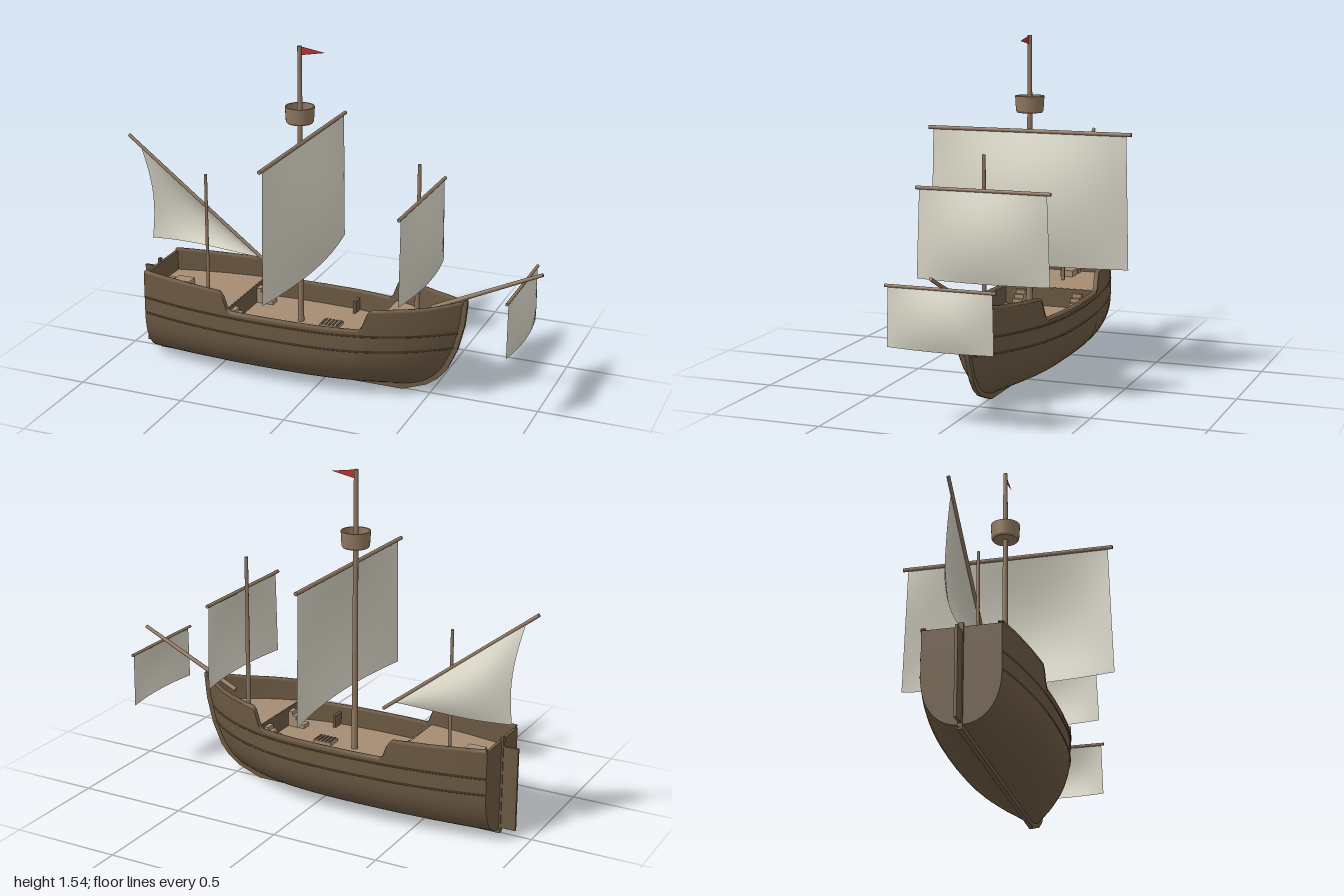
import * as THREE from 'three';

const mat = (name, color, side = THREE.FrontSide) => {
  const m = new THREE.MeshStandardMaterial({ color, side });
  m.name = name;
  return m;
};

// piecewise linear lookup through [in, out] pairs
const lerpTable = (t, v) => {
  if (v <= t[0][0]) return t[0][1];
  for (let i = 1; i < t.length; i++) {
    const [a, b] = [t[i - 1], t[i]];
    if (v <= b[0]) return a[1] + (b[1] - a[1]) * (v - a[0]) / (b[0] - a[0]);
  }
  return t[t.length - 1][1];
};

// hull lines: bow at +x, stern at -x
const STERN = -0.845, BOW = 0.655, FLOOR = 0.02;
const STEM = [[0.02, 0.38], [0.05, 0.475], [0.09, 0.53], [0.14, 0.57], [0.24, 0.615], [0.36, 0.645], [0.46, 0.655]];
const SHEER = [[-0.85, 0.443], [-0.43, 0.43], [-0.41, 0.405], [-0.39, 0.355], [-0.37, 0.34],
  [0.24, 0.34], [0.255, 0.36], [0.275, 0.425], [0.29, 0.438], [0.5, 0.445], [0.66, 0.465]];
const STATIONS = [STERN, -0.78, -0.7, -0.6, -0.5, -0.43, -0.41, -0.39, -0.37, -0.25, -0.1, 0.05, 0.15,
  0.24, 0.255, 0.275, 0.29, 0.36, 0.43, 0.5, 0.55, 0.59, 0.62, 0.64, BOW];
const stem = y => lerpTable(STEM, y);
const sheer = x => lerpTable(SHEER, x);
const plan = x => x > -0.15
  ? 0.243 * Math.max(0, 1 - Math.pow((x + 0.15) / (BOW + 0.15), 2.8))
  : 0.243 * (1 - 0.33 * Math.pow((-0.15 - x) / 0.7, 2.2));
const section = y => {
  const s = Math.min(1, Math.max(0, (y - FLOOR) / 0.22));
  return Math.pow(1 - Math.pow(1 - s, 2.2), 1 / 2.2);
};
const stationX = (x0, y) => STERN + (x0 - STERN) / (BOW - STERN) * (stem(y) - STERN);
const halfWidth = (x, y) =>
  plan(Math.min(BOW, STERN + (x - STERN) / (stem(y) - STERN) * (BOW - STERN))) * section(y);

// grid surface from a point rule f(i, j)
function surface(nu, nv, f) {
  const pos = [], idx = [];
  for (let i = 0; i <= nu; i++) for (let j = 0; j <= nv; j++) pos.push(...f(i, j));
  for (let i = 0; i < nu; i++) for (let j = 0; j < nv; j++) {
    const a = i * (nv + 1) + j, b = a + nv + 1;
    idx.push(a, b, a + 1, b, b + 1, a + 1);
  }
  const g = new THREE.BufferGeometry();
  g.setAttribute('position', new THREE.Float32BufferAttribute(pos, 3));
  g.setIndex(idx);
  g.computeVertexNormals();
  return g;
}

export function createModel() {
  const ship = new THREE.Group();
  ship.name = 'sailingShip';
  const hullMat = mat('darkHullWood', 0x6b5842, THREE.DoubleSide);
  const deckMat = mat('deckWood', 0xa58c72);
  const sparMat = mat('sparWood', 0x8f775f, THREE.DoubleSide);
  const sailMat = mat('canvas', 0xd6d3c4, THREE.DoubleSide);
  const flagMat = mat('redFlag', 0xb5312f, THREE.DoubleSide);

  const add = (name, geo, material, x = 0, y = 0, z = 0) => {
    const m = new THREE.Mesh(geo, material);
    m.name = name;
    m.position.set(x, y, z);
    ship.add(m);
    return m;
  };
  const box = (name, w, h, d, x, y, z, material) => add(name, new THREE.BoxGeometry(w, h, d), material, x, y, z);
  const spar = (name, a, b, ra, rb = ra) => {
    const A = new THREE.Vector3(...a), B = new THREE.Vector3(...b), d = B.clone().sub(A);
    const m = add(name, new THREE.CylinderGeometry(rb, ra, d.length(), 14), sparMat);
    m.position.copy(A).add(B).multiplyScalar(0.5);
    m.quaternion.setFromUnitVectors(new THREE.Vector3(0, 1, 0), d.normalize());
    return m;
  };
  const extrude = (points, depth) => new THREE.ExtrudeGeometry(
    new THREE.Shape(points.map(p => new THREE.Vector2(...p))), { depth, bevelEnabled: false });

  // planking, inner bulwark, cap rail and wales on both sides
  const n = STATIONS.length - 1, WALL = 0.014;
  for (const side of [1, -1]) {
    add('hullPlanking', surface(n, 16, (i, j) => {
      const y = FLOOR + (sheer(STATIONS[i]) - FLOOR) * Math.pow(j / 16, 1.8);
      return [stationX(STATIONS[i], y), y, side * plan(STATIONS[i]) * section(y)];
    }), hullMat);
    add('innerBulwark', surface(n, 4, (i, j) => {
      const y = 0.235 + (sheer(STATIONS[i]) - 0.235) * j / 4;
      return [stationX(STATIONS[i], y), y, side * Math.max(0, plan(STATIONS[i]) * section(y) - WALL)];
    }), hullMat);
    const railEdge = [[0.004, -0.008], [0.004, 0.003], [-WALL - 0.003, 0.003], [-WALL - 0.003, -0.008]];
    add('capRail', surface(n, 3, (i, j) => {
      const y = sheer(STATIONS[i]), [dz, dy] = railEdge[j];
      return [stationX(STATIONS[i], y), y + dy, side * Math.max(0, plan(STATIONS[i]) + dz)];
    }), hullMat);
    for (const y of [0.24, 0.315]) {
      const pts = STATIONS.map(s => new THREE.Vector3(stationX(s, y), y, side * plan(s) * section(y)));
      add('wale', new THREE.TubeGeometry(new THREE.CatmullRomCurve3(pts), 60, 0.004, 5), hullMat);
    }
  }

  // transom closing the stern
  const rim = [];
  for (let j = 0; j <= 14; j++) {
    const y = FLOOR + 0.415 * Math.pow(j / 14, 1.8);
    rim.push([plan(STERN) * section(y), y]);
  }
  const transom = add('transom', extrude([...rim, ...rim.slice(1).reverse().map(([z, y]) => [-z, y])], 0.014),
    hullMat, STERN - 0.004);
  transom.rotation.y = Math.PI / 2;

  // keel sweeping up into the stem post, and rudder
  const outer = [[STERN - 0.01, 0], [0.37, 0], ...STEM.slice(1).map(([y, x]) => [x + 0.01, y - 0.008]), [0.665, 0.475]];
  const inner = [[0.635, 0.475], ...STEM.slice(1).reverse().map(([y, x]) => [x - 0.025, y + 0.012]), [0.35, 0.03], [STERN - 0.01, 0.03]];
  add('keelAndStem', extrude([...outer, ...inner], 0.02), hullMat, 0, 0, -0.01);
  box('rudder', 0.072, 0.385, 0.012, -0.889, 0.2175, 0, hullMat);
  box('sternPost', 0.014, 0.44, 0.02, STERN - 0.005, 0.23, 0, hullMat);

  // three deck levels
  const MAIN = 0.25, HIGH = 0.34, AFT = -0.41, FORE = 0.27;
  const deck = (name, xa, xb, y) => {
    const edge = [];
    for (let i = 0; i <= 24; i++) {
      const x = xa + (xb - xa) * i / 24;
      edge.push([x, Math.max(0.001, halfWidth(x, y) - 0.006)]);
    }
    add(name, extrude([...edge.map(([x, z]) => [x, -z]), ...edge.reverse()], 0.012), deckMat, 0, y - 0.012, 0)
      .rotation.x = -Math.PI / 2;
  };
  deck('mainDeck', AFT, FORE, MAIN);
  deck('aftDeck', STERN, AFT, HIGH);
  deck('foreDeck', FORE, stem(HIGH) - 0.005, HIGH);
  for (const x of [AFT, FORE])
    box('bulkhead', 0.008, HIGH - MAIN, 2 * (halfWidth(x, HIGH) - 0.01), x, (MAIN + HIGH) / 2 - 0.001, 0, hullMat);

  // stairs up to the raised decks
  for (const [x0, dir, z] of [[AFT, 1, 0.14], [FORE, -1, 0.108]])
    for (const side of [1, -1]) {
      for (let k = 0; k < 4; k++) {
        const h = (HIGH - MAIN) * (4 - k) / 5;
        box('stairStep', 0.021, h, 0.046, x0 + dir * (0.014 + k * 0.021), MAIN + h / 2, side * z, deckMat);
      }
    }

  // cargo hatch with slats, deck beams, aft chest
  box('cargoHatch', 0.09, 0.014, 0.07, 0.02, MAIN + 0.007, 0, deckMat);
  for (let k = 0; k < 5; k++) box('hatchSlat', 0.007, 0.006, 0.06, -0.014 + k * 0.018, MAIN + 0.016, 0, hullMat);
  for (const side of [1, -1]) box('deckBeam', 0.014, 0.06, 0.065, 0.067, MAIN + 0.03, side * 0.2, hullMat);
  box('aftChest', 0.08, 0.03, 0.06, -0.72, HIGH + 0.015, 0.01, deckMat);
  box('aftBench', 0.025, 0.02, 0.06, -0.79, HIGH + 0.01, 0.01, deckMat);

  // masts and bowsprit
  spar('mainMast', [-0.13, MAIN, 0], [-0.13, 1.54, 0], 0.015, 0.01);
  spar('foreMast', [0.43, HIGH, 0], [0.43, 1.07, 0], 0.011, 0.008);
  spar('mizzenMast', [-0.6, HIGH, 0], [-0.6, 0.895, 0], 0.008, 0.007);
  spar('bowsprit', [0.5, 0.415, 0], [0.995, 0.645, 0], 0.011, 0.008);

  // crow's nest tub
  const tub = [[0, 1.195], [0.056, 1.195], [0.062, 1.203], [0.066, 1.27], [0.059, 1.27], [0.056, 1.208], [0, 1.208]];
  add('crowsNest', new THREE.LatheGeometry(tub.flatMap(p => [new THREE.Vector2(...p), new THREE.Vector2(...p)]), 28),
    sparMat, -0.13);

  // square sails with their yards
  const squareSail = (name, x, yardY, yardHalf, r, top, bottom, topHalf, bottomHalf, belly) => {
    spar(name + 'Yard', [x, yardY, -yardHalf], [x, yardY, yardHalf], r);
    add(name, surface(16, 16, (i, j) => {
      const s = i / 8 - 1, t = j / 16;
      const bulge = belly * (1 - s * s) * Math.sin(Math.PI * 0.82 * t);
      return [x + 0.003 + bulge, top + (bottom - top) * t, s * (topHalf + (bottomHalf - topHalf) * t)];
    }), sailMat);
  };
  squareSail('mainSail', -0.108, 1.113, 0.483, 0.009, 1.108, 0.51, 0.46, 0.475, 0.083);
  squareSail('foreSail', 0.447, 0.918, 0.305, 0.008, 0.915, 0.525, 0.288, 0.303, 0.053);
  squareSail('spritSail', 0.908, 0.587, 0.24, 0.007, 0.583, 0.335, 0.226, 0.231, 0.038);

  // slanted triangular sail on the mizzen
  spar('lateenYard', [-1, 1.032, -0.022], [-0.285, 0.482, -0.022], 0.008);
  const peak = [-0.945, 0.985], tack = [-0.345, 0.52], clew = [-0.905, 0.532];
  add('lateenSail', surface(16, 16, (i, j) => {
    const t = i / 16, s = j / 16; // t runs from tack to leech, s from yard to foot
    const p = k => tack[k] + t * ((1 - s) * peak[k] + s * clew[k] - tack[k]);
    const hollow = 0.02 * t * Math.sin(Math.PI * s);
    const belly = 0.068 * Math.sin(Math.PI * Math.pow(t, 1.4) * 0.85) * Math.sin(Math.PI * (0.1 + 0.8 * s) - 0.25);
    return [p(0) + hollow, p(1), -0.024 - Math.max(0, belly)];
  }), sailMat);

  // pennant
  add('pennant', new THREE.ShapeGeometry(new THREE.Shape([
    new THREE.Vector2(-0.122, 1.5), new THREE.Vector2(-0.01, 1.52), new THREE.Vector2(-0.122, 1.538)])), flagMat);

  return ship;
}
